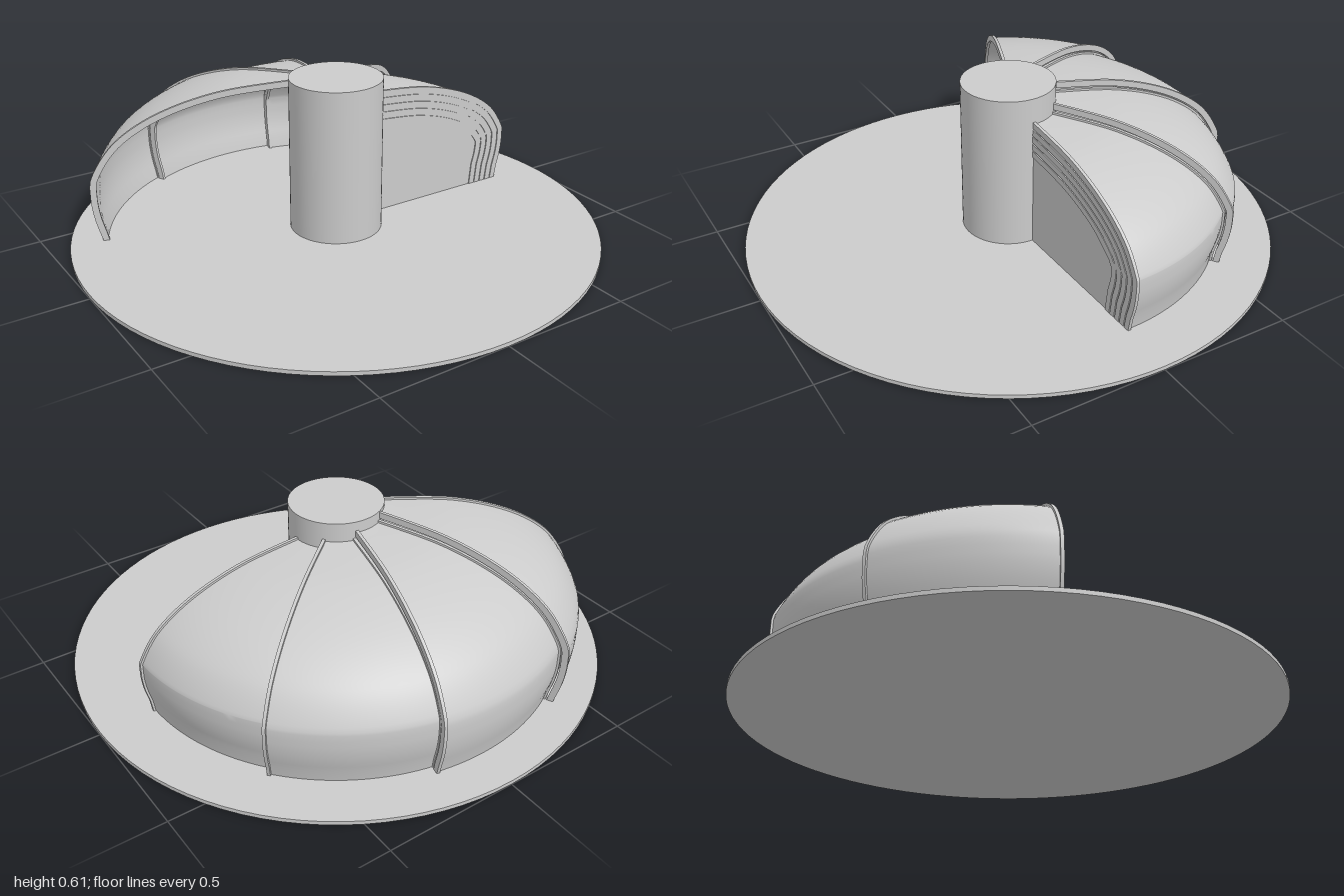
import * as THREE from 'three';
import { toCreasedNormals } from 'three/addons/utils/BufferGeometryUtils.js';

const material = new THREE.MeshStandardMaterial({ color: 0xcccccc, side: THREE.DoubleSide });
const FLOOR = 0.015;      // top of the base disc
const STEP = 0.029;       // gap between nested shells
const RIM = 0.012;        // width of a rim
const SPAN = THREE.MathUtils.degToRad(39.8);
const TURN = THREE.MathUtils.degToRad(38.9);

// Outermost dome profile (radius, height), from the floor up to the column
const profile = new THREE.SplineCurve([
  [0.88, FLOOR], [0.905, 0.11], [0.913, 0.2], [0.9, 0.28], [0.81, 0.405],
  [0.65, 0.506], [0.43, 0.575], [0.165, 0.605],
].map(([r, y]) => new THREE.Vector2(r, y)));

// The profile moved inwards by d, standing on the floor
function offsetProfile(d) {
  const points = [];
  for (let i = 0; i <= 40; i++) {
    const t = profile.getTangentAt(i / 40);
    const p = profile.getPointAt(i / 40);
    points.push(new THREE.Vector2(p.x - t.y * d, p.y + t.x * d));
  }
  points[0].y = FLOOR;
  return points;
}

// Closed strip between two offsets
const strip = (outer, inner) => [...offsetProfile(outer), ...offsetProfile(inner).reverse()];

function add(parent, name, geometry) {
  const mesh = new THREE.Mesh(geometry, material);
  mesh.name = name;
  parent.add(mesh);
  return mesh;
}

// Flat plate standing in a radial plane; z0 sets which side of the plane it is on
function radialPlate(parent, name, points, angle, z0, depth) {
  const geometry = new THREE.ExtrudeGeometry(new THREE.Shape(points), { depth, bevelEnabled: false });
  geometry.translate(0, 0, z0);
  add(parent, name, toCreasedNormals(geometry, 0.5)).rotation.y = angle;
}

// One sliding dome segment with a raised rim at each end
function shell(layer, start) {
  const group = new THREE.Group();
  group.name = 'domeSegment' + (layer + 1);
  const d = layer * STEP;
  const section = strip(d + 0.008, d + 0.018);
  section.push(section[0].clone());
  const skin = new THREE.LatheGeometry(section, 20, start + Math.PI / 2, SPAN);
  add(group, 'segmentSkin', toCreasedNormals(skin, 0.6));
  const rim = strip(d, d + 0.024);
  radialPlate(group, 'startRim', rim, start, -RIM, RIM);
  radialPlate(group, 'endRim', rim, start + SPAN, 0, RIM);
  return group;
}

export function createModel() {
  const model = new THREE.Group();
  model.name = 'telescopicDome';

  // Base disc and central column
  add(model, 'baseDisc', new THREE.CylinderGeometry(1, 1, FLOOR, 96)).position.y = FLOOR / 2;
  const height = 0.61 - FLOOR;
  add(model, 'column', new THREE.CylinderGeometry(0.175, 0.175, height, 64)).position.y = FLOOR + height / 2;

  // Eight nested segments: the outer ones fan out, the rest stay stacked
  for (let layer = 0; layer < 8; layer++) {
    model.add(shell(layer, Math.max(0, 3 - layer) * TURN));
  }

  // Flat wall closing the stacked end
  const wall = [...offsetProfile(3 * STEP + 0.01), new THREE.Vector2(0.15, FLOOR)];
  radialPlate(model, 'endWall', wall, 0, -0.011, 0.007);

  return model;
}
